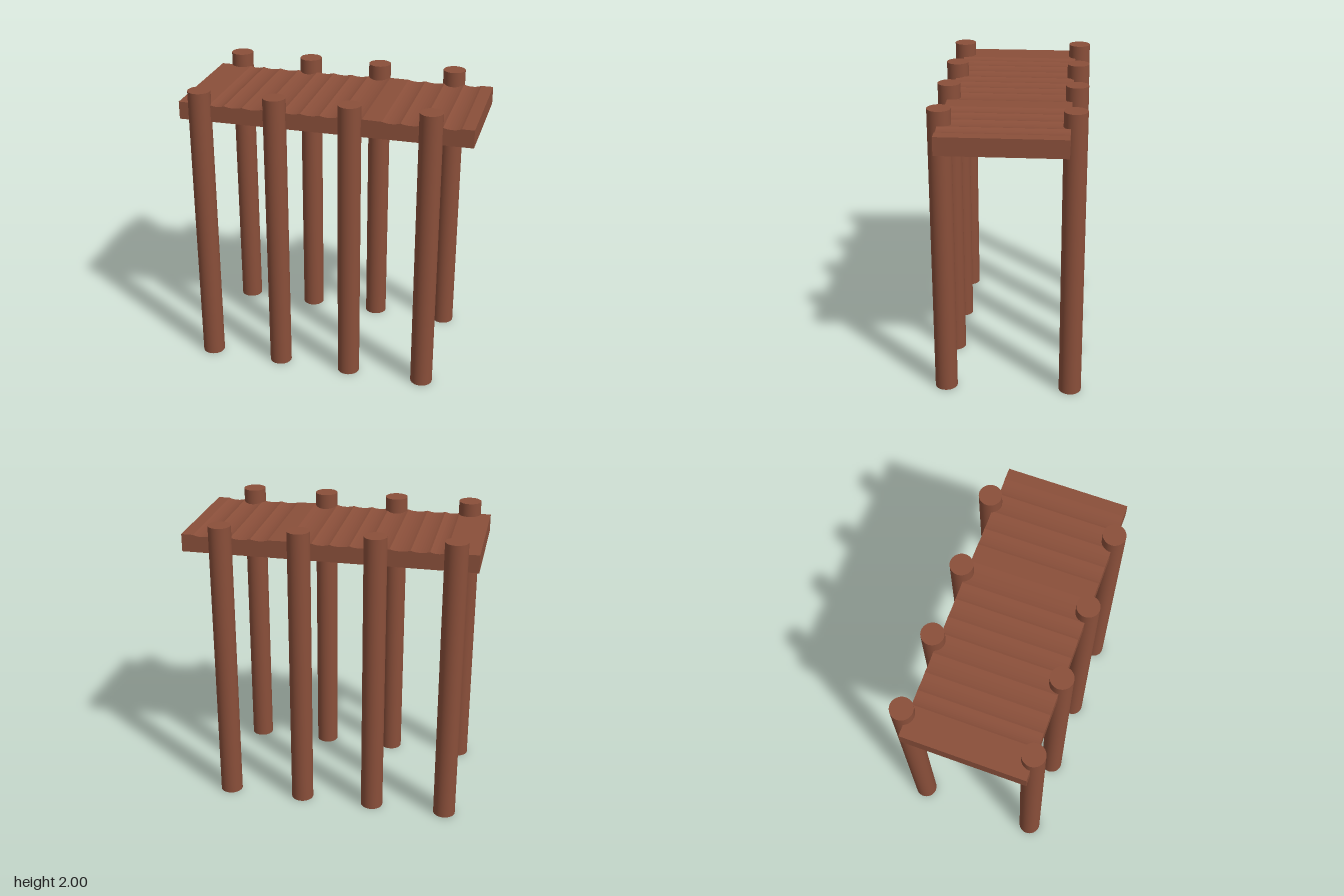
import * as THREE from 'three';

export function createModel() {
  const group = new THREE.Group();
  const wood = new THREE.MeshStandardMaterial({ color: 0x8a4f3a });

  // Deck: planks drawn as one side profile with worn, scalloped tops
  const top = 1.91, bottom = 1.79, back = -0.395, front = 0.43;
  const crests = [-0.77, -0.67, -0.545, -0.41, -0.27, -0.15, -0.02, 0.1, 0.26, 0.39, 0.51, 0.645, 0.78, 0.9];
  const flat = 0.26; // the plank starting here is not worn
  const profile = new THREE.Shape();
  profile.moveTo(-0.985, bottom);
  profile.lineTo(0.98, bottom);
  profile.lineTo(0.98, top);
  for (let i = crests.length - 1; i >= 0; i--) {
    const x = crests[i], next = crests[i + 1];
    if (next === undefined) profile.lineTo(x, top);
    else if (x === flat) profile.lineTo(x, top);
    else {
      const w = next - x, low = top - 0.015;
      profile.bezierCurveTo(next - w * 0.3, low, x + w * 0.3, low, x, top - 0.002);
    }
  }
  profile.lineTo(-0.985, top);
  profile.closePath();
  const deckShape = new THREE.ExtrudeGeometry(profile, {
    depth: front - back, bevelEnabled: false, curveSegments: 8,
  });
  const deck = new THREE.Mesh(deckShape, wood);
  deck.name = 'plankDeck';
  deck.position.z = back;
  group.add(deck);

  // Round posts in two rows, rising slightly above the deck
  const postShape = new THREE.CylinderGeometry(0.076, 0.076, 2, 32);
  for (const [row, z] of [['front', 0.424], ['back', -0.424]]) {
    [-0.84, -0.325, 0.178, 0.705].forEach((x, i) => {
      const post = new THREE.Mesh(postShape, wood);
      post.name = `${row}Post${i + 1}`;
      post.position.set(x, 1, z);
      group.add(post);
    });
  }
  return group;
}
